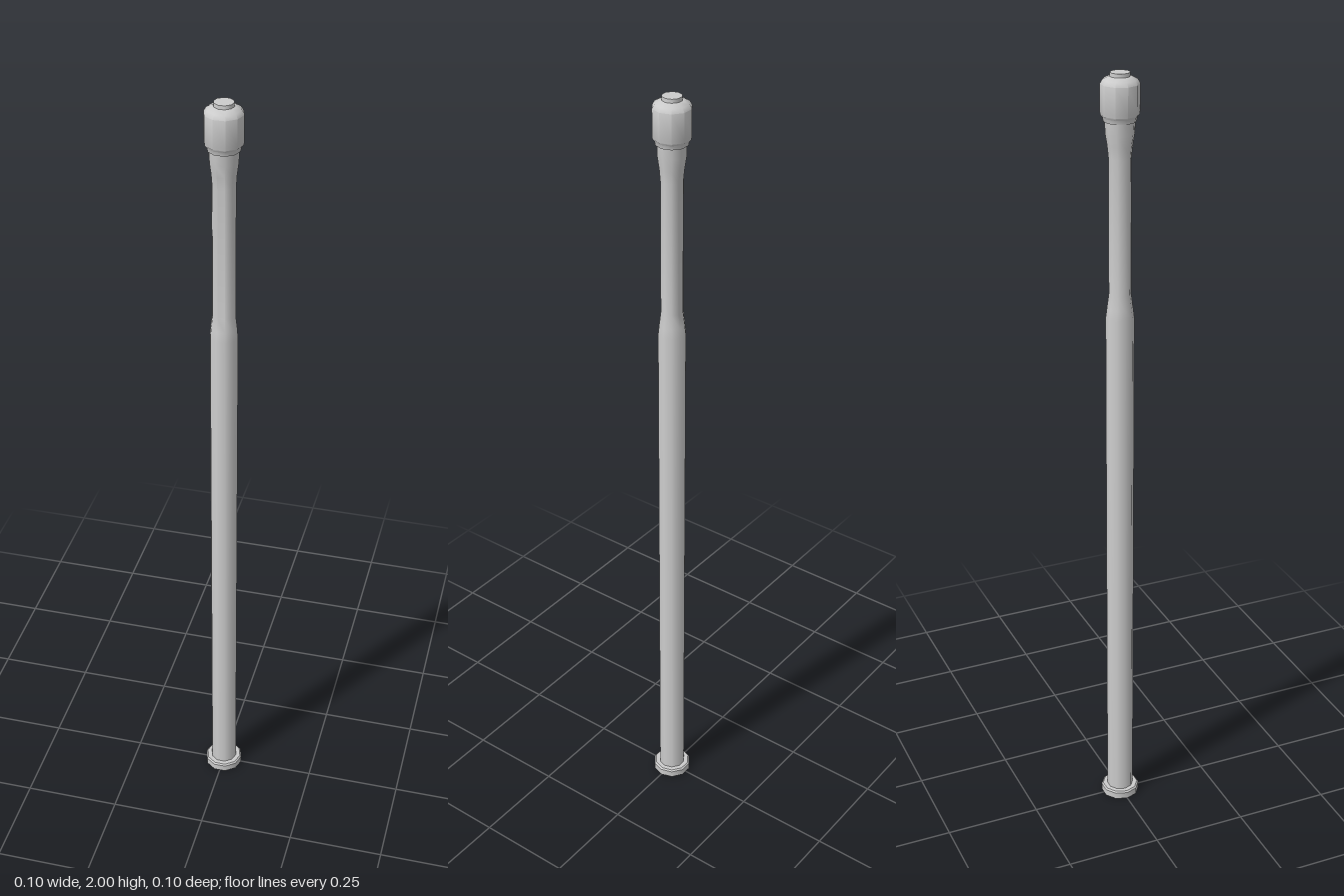
import * as THREE from 'three';
import { toCreasedNormals } from 'three/addons/utils/BufferGeometryUtils.js';

const SIDES = 10;
const grey = new THREE.MeshStandardMaterial({ color: 0xcccccc });
const greyOpen = new THREE.MeshStandardMaterial({ color: 0xcccccc, side: THREE.DoubleSide });

// Ten-sided turned part from [radius, height] pairs, bottom to top, with a corner on +x.
// An optional third value narrows that ring front to back.
function turned(name, profile, material = grey) {
  const points = profile.map(([r, y]) => new THREE.Vector2(r, y));
  const geometry = new THREE.LatheGeometry(points, SIDES, Math.PI / 2);
  const position = geometry.attributes.position;
  for (let i = 0; i < position.count; i++) {
    const squeeze = profile[i % profile.length][2] ?? 1;
    position.setZ(i, position.getZ(i) * squeeze);
  }
  const mesh = new THREE.Mesh(toCreasedNormals(geometry, 0.7), material);
  mesh.name = name;
  return mesh;
}

export function createModel() {
  const group = new THREE.Group();
  group.name = 'pole';

  group.add(
    // Foot ring, open in the middle
    turned('footRing', [
      [0.035, 0.02], [0.037, 0], [0.051, 0], [0.051, 0.018], [0.047, 0.022], [0.035, 0.022],
    ], greyOpen),

    // Long shaft, stepping in to a slimmer neck and flaring out under the head
    turned('shaft', [
      [0.035, 0.005], [0.035, 1.405], [0.033, 1.43, 0.96], [0.029, 1.465, 0.93],
      [0.029, 1.8, 0.93], [0.031, 1.83, 0.97], [0.035, 1.86], [0.036, 1.89],
    ], greyOpen),

    // Head with bevelled shoulders
    turned('head', [
      [0, 1.887], [0.039, 1.887], [0.041, 1.897], [0.046, 1.903],
      [0.047, 1.91], [0.047, 1.974], [0.041, 1.984], [0.027, 1.991], [0, 1.991],
    ]),

    // Small button on top
    turned('topButton', [[0.025, 1.985], [0.024, 2], [0, 2]]),
  );
  return group;
}
